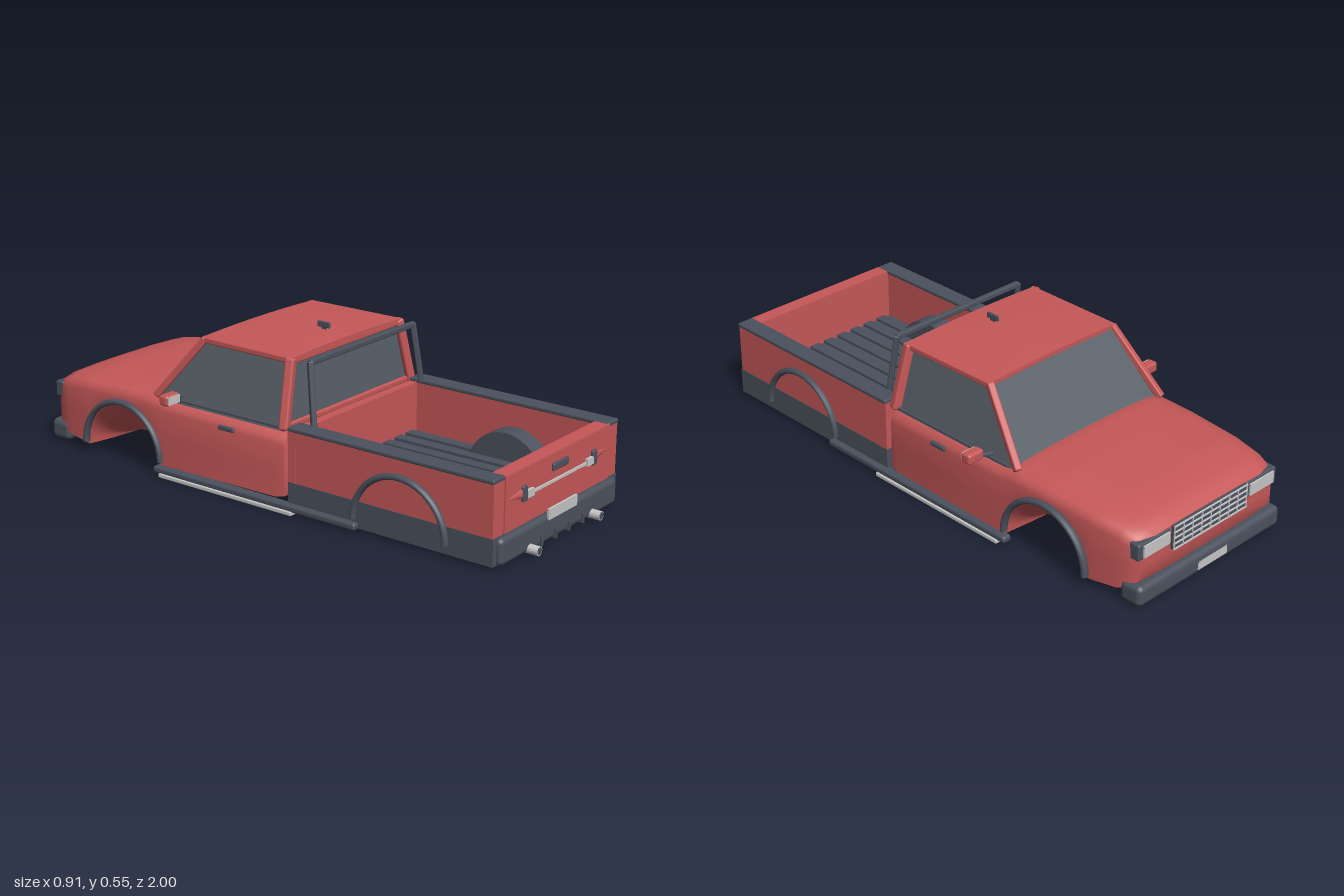
import * as THREE from 'three';
import { toCreasedNormals } from 'three/addons/utils/BufferGeometryUtils.js';
import { RoundedBoxGeometry } from 'three/addons/geometries/RoundedBoxGeometry.js';
import { ConvexGeometry } from 'three/addons/geometries/ConvexGeometry.js';

const mat = (name, color, extra = {}) => {
  const m = new THREE.MeshStandardMaterial({ color, ...extra });
  m.name = name;
  return m;
};

export function createModel() {
  const red = mat('red paint', 0xc65858);
  const dark = mat('dark trim', 0x4b515d);
  const glass = mat('window glass', 0x586068);
  const grey = mat('light grey', 0xc6c6c6);

  const root = new THREE.Group();
  root.name = 'pickupTruck';

  const add = (name, geo, m, x = 0, y = 0, z = 0) => {
    const mesh = new THREE.Mesh(geo, m);
    mesh.name = name;
    mesh.position.set(x, y, z);
    root.add(mesh);
    return mesh;
  };
  // Box given by its limits on each axis
  const box = (name, m, x0, x1, y0, y1, z0, z1, r = 0) => {
    const s = [Math.abs(x1 - x0), y1 - y0, z1 - z0];
    const geo = r ? new RoundedBoxGeometry(...s, 3, r) : new THREE.BoxGeometry(...s);
    return add(name, geo, m, (x0 + x1) / 2, (y0 + y1) / 2, (z0 + z1) / 2);
  };
  // Square beam running between two points
  const beam = (name, m, a, b, w, d = w) => {
    const p = new THREE.Vector3(...a), q = new THREE.Vector3(...b);
    const mesh = add(name, new RoundedBoxGeometry(w, d, p.distanceTo(q) + w * 0.5, 2, Math.min(w, d) * 0.25), m);
    mesh.position.copy(p).add(q).multiplyScalar(0.5);
    mesh.lookAt(q);
    return mesh;
  };
  const sides = (fn) => [-1, 1].forEach(fn);

  // Cab and bonnet body: cross-sections along z, arched over the wheels
  // z, half width, top, bottom
  const keys = [
    [0.13, 0.345, 0.26, 0.05], [0.12, 0.365, 0.276, 0.035], [0.09, 0.372, 0.282, 0.028],
    [-0.4, 0.372, 0.288, 0.022], [-0.47, 0.37, 0.298, 0.018], [-0.6, 0.366, 0.297, 0.013],
    [-0.8, 0.357, 0.286, 0.018], [-0.9, 0.345, 0.273, 0.03], [-0.95, 0.333, 0.257, 0.05],
    [-0.97, 0.318, 0.238, 0.08],
  ];
  const archZ = -0.61, archR = 0.178;
  const at = (z) => {
    let i = 0;
    while (i < keys.length - 2 && z < keys[i + 1][0]) i++;
    const a = keys[i], b = keys[i + 1], t = (z - a[0]) / (b[0] - a[0]);
    return [1, 2, 3].map((k) => a[k] + (b[k] - a[k]) * t);
  };
  const stations = keys.map((k) => k[0]);
  for (let i = 0; i <= 24; i++) stations.push(archZ + archR * Math.cos((i / 24) * Math.PI));
  stations.sort((a, b) => b - a);
  const half = (z) => {
    const [w, top, bot] = at(z);
    const d = Math.abs(z - archZ);
    const edge = Math.max(bot + 0.018, d < archR ? 0.04 + Math.sqrt(archR * archR - d * d) : 0);
    const sh = top - 0.05;
    const pts = [[0, top], [0.45 * w, top - 0.001], [0.8 * w, top - 0.006], [0.94 * w, top - 0.018],
      [0.985 * w, top - 0.032], [w, sh], [w, (sh + edge) / 2], [w, edge]];
    for (let t = 1; t <= 6; t++) {
      const u = 1 - t / 6;
      pts.push([w * u, bot + (edge - bot) * u * u]);
    }
    return pts;
  };
  const ringOf = (z) => {
    const h = half(z);
    return [...h, ...h.slice(1, -1).reverse().map(([x, y]) => [-x, y])].map(([x, y]) => [x, y, z]);
  };
  const point = (z) => ringOf(z).map(() => [0, 0.15, z]);
  const rings = [point(stations[0]), ...stations.map(ringOf), point(stations[stations.length - 1])];
  const n = rings[0].length, index = [];
  for (let r = 0; r < rings.length - 1; r++) {
    for (let i = 0; i < n; i++) {
      const a = r * n + i, b = r * n + ((i + 1) % n);
      index.push(a, b, a + n, b, b + n, a + n);
    }
  }
  let hull = new THREE.BufferGeometry();
  hull.setAttribute('position', new THREE.Float32BufferAttribute(rings.flat(2), 3));
  hull.setIndex(index);
  hull = toCreasedNormals(hull, 0.75);
  add('cabBody', hull, red);

  // Windows as one tapered block, framed by pillars
  const corners = [];
  sides((s) => corners.push(
    new THREE.Vector3(s * 0.346, 0.27, -0.46), new THREE.Vector3(s * 0.346, 0.27, 0.105),
    new THREE.Vector3(s * 0.288, 0.505, -0.285), new THREE.Vector3(s * 0.288, 0.505, 0.09)));
  add('windows', new ConvexGeometry(corners), glass);
  sides((s) => {
    beam('frontPillar', red, [s * 0.343, 0.285, -0.462], [s * 0.29, 0.502, -0.284], 0.026);
    beam('rearPillar', red, [s * 0.35, 0.285, 0.11], [s * 0.297, 0.502, 0.096], 0.034);
    beam('roofRail', red, [s * 0.29, 0.502, -0.28], [s * 0.295, 0.502, 0.095], 0.022);
    beam('windowSeal', dark, [s * 0.353, 0.286, -0.43], [s * 0.353, 0.286, 0.09], 0.008);
  });
  beam('rearHeader', red, [-0.29, 0.5, 0.095], [0.29, 0.5, 0.095], 0.022);
  beam('rearWindowSill', red, [-0.33, 0.285, 0.105], [0.33, 0.285, 0.105], 0.02);

  // Crowned roof
  const roof = new THREE.BoxGeometry(0.59, 0.016, 0.395, 14, 1, 8);
  const rp = roof.attributes.position;
  for (let i = 0; i < rp.count; i++) {
    const u = rp.getX(i) / 0.295, v = rp.getZ(i) / 0.1975;
    rp.setY(i, rp.getY(i) + 0.013 * (1 - u * u) * (1 - 0.5 * v * v));
  }
  roof.computeVertexNormals();
  add('roof', roof, red, 0, 0.504, -0.092);
  box('roofAntenna', dark, -0.005, 0.005, 0.53, 0.55, -0.027, 0.025, 0.003);
  box('roofAntennaFoot', dark, -0.003, 0.003, 0.515, 0.532, -0.01, 0.01);

  // Cargo bed: floor, walls, rails
  box('bedBase', dark, -0.37, 0.37, 0.018, 0.11, 0.14, 0.945);
  box('bedFrontWall', red, -0.37, 0.37, 0.11, 0.29, 0.14, 0.172);
  box('tailgate', red, -0.31, 0.31, 0.11, 0.298, 0.892, 0.947);
  for (let i = -4; i <= 4; i++) box('floorRib', dark, i * 0.066 - 0.02, i * 0.066 + 0.02, 0.11, 0.12, 0.172, 0.892);
  sides((s) => {
    box('bedSide', red, s * 0.31, s * 0.368, 0.11, 0.288, 0.14, 0.942);
    box('bedRail', dark, s * 0.308, s * 0.373, 0.287, 0.302, 0.14, 0.944, 0.005);
    const well = add('wheelWell', new THREE.CylinderGeometry(0.15, 0.15, 0.075, 32, 1, false, 0, Math.PI), dark, s * 0.275, 0.06, 0.59);
    well.rotation.z = Math.PI / 2;
  });

  // Roll bar behind the cab
  sides((s) => beam('rollBarPost', dark, [s * 0.302, 0.3, 0.195], [s * 0.286, 0.505, 0.168], 0.02));
  beam('rollBarTop', dark, [-0.285, 0.506, 0.168], [0.285, 0.506, 0.168], 0.02);

  // Rear bumper and tailgate fittings
  box('rearBumper', dark, -0.35, 0.35, 0.014, 0.106, 0.9, 0.964, 0.018);
  box('rearPlate', grey, -0.085, 0.085, 0.09, 0.127, 0.96, 0.968);
  box('tailgateHandle', dark, -0.046, 0.046, 0.239, 0.265, 0.944, 0.956, 0.005);
  box('tailgateBar', grey, -0.17, 0.17, 0.201, 0.21, 0.945, 0.953);
  [-0.125, -0.04, 0.04, 0.125].forEach((x) => box('bumperFin', dark, x - 0.004, x + 0.004, 0.016, 0.05, 0.955, 0.972));
  sides((s) => {
    box('barEnd', grey, s * 0.16, s * 0.197, 0.196, 0.221, 0.944, 0.958);
    box('barMount', dark, s * 0.195, s * 0.222, 0.188, 0.24, 0.944, 0.957, 0.005);
    const spear = new THREE.CylinderGeometry(0.003, 0.019, 0.09, 12);
    const fin = add('tailgateSpear', spear, red, s * 0.25, 0.216, 0.946);
    fin.rotation.z = -s * Math.PI / 2;
    fin.scale.z = 0.5;
    const pipe = add('exhaustPipe', new THREE.CylinderGeometry(0.016, 0.016, 0.1, 20), grey, s * 0.188, 0.027, 0.95);
    pipe.rotation.x = Math.PI / 2;
    add('exhaustOpening', new THREE.CircleGeometry(0.013, 20), dark, s * 0.188, 0.027, 1.0005);
  });

  // Wheel arch flares, sills, steps, mirrors and handles
  sides((s) => {
    [0.59, -0.61].forEach((z) => {
      const arch = add('wheelArchFlare', new THREE.TorusGeometry(0.18, 0.011, 8, 36, Math.PI), dark, s * 0.372, 0.05, z);
      arch.rotation.y = Math.PI / 2;
      arch.scale.z = 1.3;
    });
    box('sillTube', dark, s * 0.356, s * 0.392, 0.013, 0.038, -0.45, 0.43, 0.009);
    box('sideStep', grey, s * 0.345, s * 0.398, 0.003, 0.018, -0.42, 0.172, 0.004);
    beam('mirrorArm', dark, [s * 0.345, 0.298, -0.35], [s * 0.4, 0.303, -0.335], 0.012);
    box('mirrorHousing', red, s * 0.385, s * 0.453, 0.294, 0.332, -0.355, -0.316, 0.01);
    box('mirrorGlass', grey, s * 0.391, s * 0.447, 0.299, 0.327, -0.32, -0.313);
    box('doorHandle', dark, s * 0.366, s * 0.38, 0.231, 0.247, -0.157, -0.09, 0.004);
  });

  // Nose: grille, lamps and bumper
  box('grille', dark, -0.178, 0.178, 0.148, 0.235, -0.98, -0.945);
  [0.15, 0.17, 0.191, 0.212, 0.233].forEach((y) => box('grilleSlat', grey, -0.178, 0.178, y - 0.0018, y + 0.0018, -0.985, -0.978));
  for (let i = -4; i <= 4; i++) box('grilleBar', grey, i * 0.044 - 0.0015, i * 0.044 + 0.0015, 0.15, 0.233, -0.984, -0.978);
  sides((s) => {
    box('lampHousing', dark, s * 0.185, s * 0.335, 0.172, 0.232, -0.976, -0.935, 0.008);
    box('headLamp', grey, s * 0.195, s * 0.315, 0.181, 0.224, -0.982, -0.974);
  });
  box('frontBumper', dark, -0.345, 0.345, 0.012, 0.086, -0.997, -0.91, 0.02);
  box('bumperGroove', dark, -0.28, 0.28, 0.058, 0.064, -1.0, -0.994);
  box('frontPlate', grey, -0.07, 0.07, 0.03, 0.062, -1.0, -0.994);

  return root;
}
